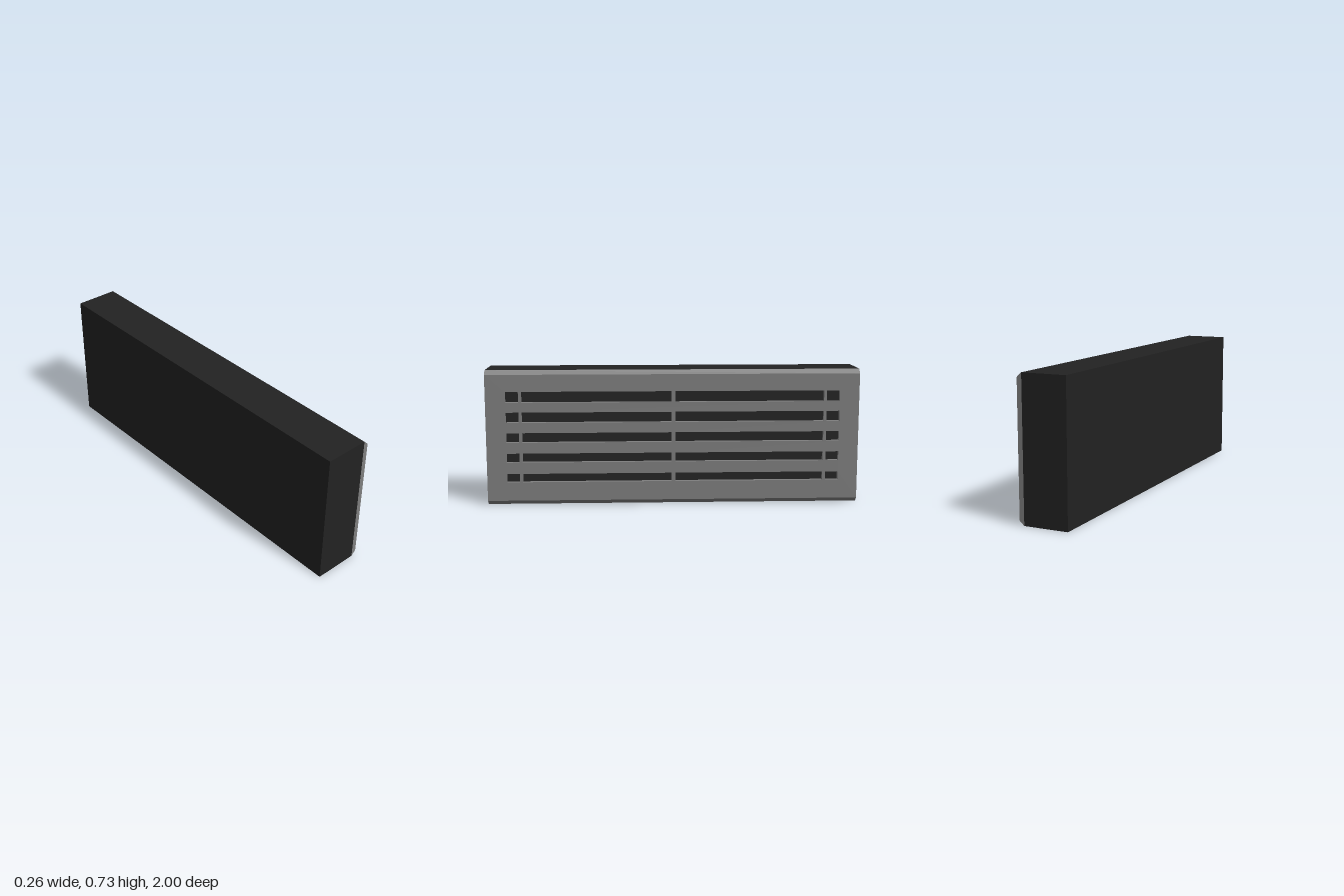
import * as THREE from 'three';

const LENGTH = 2, HEIGHT = 0.728;
const BACK = -0.13, SEAM = 0.105, FACE = 0.13, CHAMFER = 0.023;

export function createModel() {
  const group = new THREE.Group();
  const housingMat = new THREE.MeshStandardMaterial({ color: 0x222222 });
  housingMat.name = 'dark housing';
  const plateMat = new THREE.MeshStandardMaterial({ color: 0x7e7e7e });
  plateMat.name = 'grey faceplate';

  // Solid housing, also the dark floor behind the slots
  const housing = new THREE.Mesh(new THREE.BoxGeometry(SEAM - BACK, HEIGHT, LENGTH), housingMat);
  housing.position.set((BACK + SEAM) / 2, HEIGHT / 2, 0);
  housing.name = 'housing';
  group.add(housing);

  // Faceplate outline, drawn along its length
  const rect = (path, u0, u1, v0, v1) => {
    path.moveTo(u0, v0);
    path.lineTo(u1, v0);
    path.lineTo(u1, v1);
    path.lineTo(u0, v1);
    path.closePath();
    return path;
  };
  const outline = rect(new THREE.Shape(), -LENGTH / 2, LENGTH / 2, 0, HEIGHT);

  // Five rows of slots: a short one at each end, two long ones between
  const slots = [[-0.895, -0.825], [-0.81, -0.01], [0.01, 0.81], [0.825, 0.895]];
  for (let row = 0; row < 5; row++) {
    const y = 0.147 + row * 0.1095;
    const half = 0.023 + row * 0.0015;
    for (const [u0, u1] of slots) {
      outline.holes.push(rect(new THREE.Path(), u0, u1, y - half, y + half));
    }
  }
  const plateGeo = new THREE.ExtrudeGeometry(outline, { depth: FACE - SEAM, bevelEnabled: false });

  // Chamfer the front of the long top and bottom edges
  const pos = plateGeo.attributes.position;
  for (let i = 0; i < pos.count; i++) {
    if (pos.getZ(i) < 0.001) continue;
    pos.setY(i, THREE.MathUtils.clamp(pos.getY(i), CHAMFER, HEIGHT - CHAMFER));
  }
  plateGeo.computeVertexNormals();
  plateGeo.rotateY(Math.PI / 2);
  plateGeo.translate(SEAM, 0, 0);
  const plate = new THREE.Mesh(plateGeo, plateMat);
  plate.name = 'slottedFaceplate';
  group.add(plate);

  return group;
}
